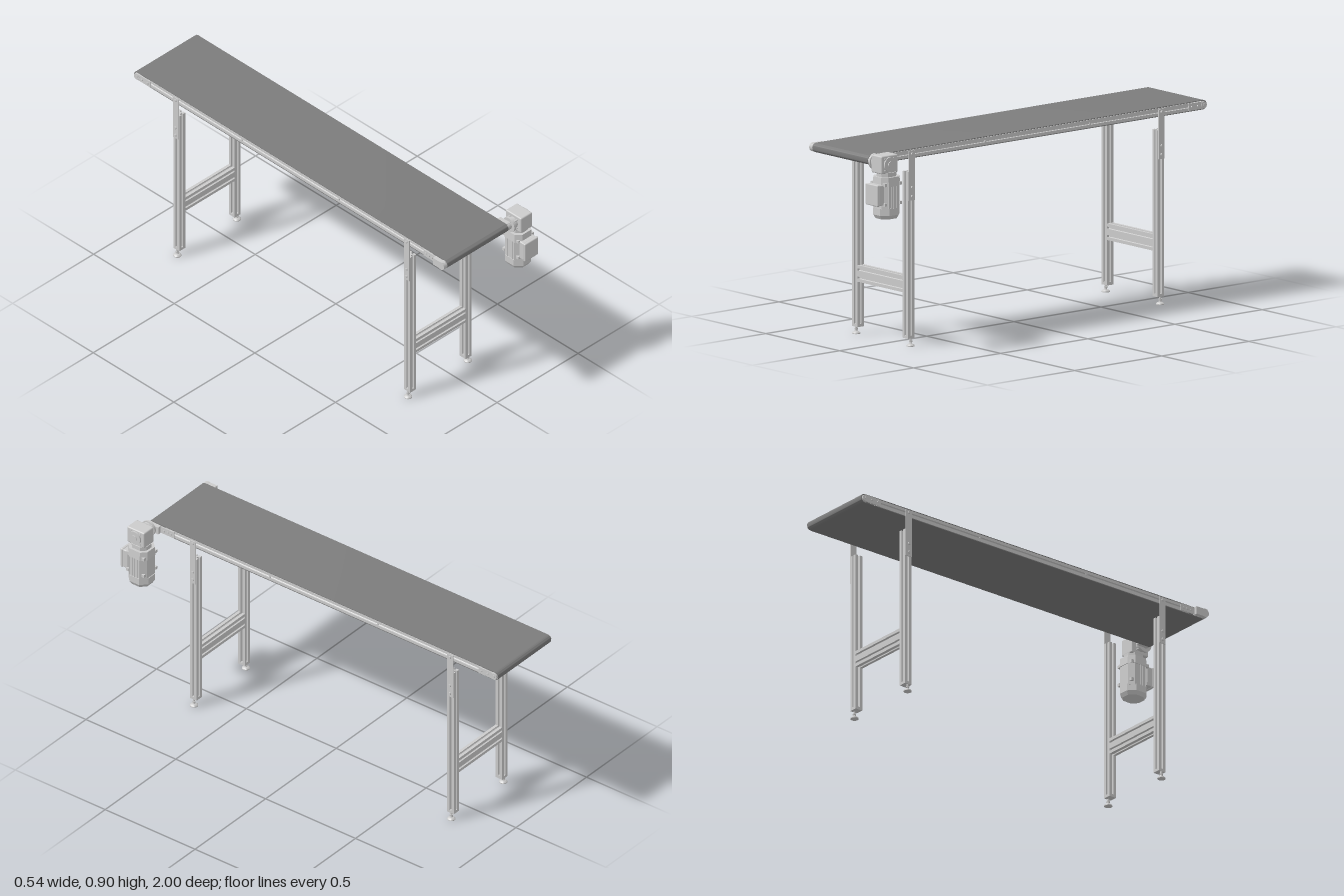
import * as THREE from 'three';
import { toCreasedNormals } from 'three/addons/utils/BufferGeometryUtils.js';
import { RoundedBoxGeometry } from 'three/addons/geometries/RoundedBoxGeometry.js';

const CX = -0.0625;     // centre line of the conveyor
const BELT_Y = 0.86;
const DRIVE_Z = 0.924, TAIL_Z = -0.979, R = 0.021;

const grey = new THREE.MeshStandardMaterial({ color: 0xcccccc });
const beltGrey = new THREE.MeshStandardMaterial({ color: 0x7c7c7c });

function add(parent, name, geometry, x = 0, y = 0, z = 0, material = grey) {
  const mesh = new THREE.Mesh(geometry, material);
  mesh.name = name;
  mesh.position.set(x, y, z);
  parent.add(mesh);
  return mesh;
}
const box = (w, h, d) => new THREE.BoxGeometry(w, h, d);
const cylX = (r, length, n = 32) => new THREE.CylinderGeometry(r, r, length, n).rotateZ(Math.PI / 2);

function group(parent, name, x = 0, y = 0, z = 0) {
  const g = new THREE.Group();
  g.name = name;
  g.position.set(x, y, z);
  parent.add(g);
  return g;
}

// T-slot section, nx by ny modules of size m, extruded along z and centred
function slotProfile(m, nx, ny, length) {
  const slot = [[-0.13, 0], [-0.13, 0.13], [-0.22, 0.13], [-0.11, 0.29],
    [0.11, 0.29], [0.22, 0.13], [0.13, 0.13], [0.13, 0]];
  const w = nx * m / 2, h = ny * m / 2;
  const sides = [[-w, -h, 1, 0, nx], [w, -h, 0, 1, ny], [w, h, -1, 0, nx], [-w, h, 0, -1, ny]];
  const points = [];
  for (const [x, y, dx, dy, count] of sides) {
    points.push(new THREE.Vector2(x, y));
    for (let k = 0; k < count; k++) {
      for (const [a, d] of slot) {
        const t = (k + 0.5 + a) * m, n = d * m;
        points.push(new THREE.Vector2(x + dx * t - dy * n, y + dy * t + dx * n));
      }
    }
  }
  const geometry = new THREE.ExtrudeGeometry(new THREE.Shape(points), { depth: length, bevelEnabled: false });
  return geometry.translate(0, 0, -length / 2);
}

// Closed loop around both end rollers, in the z-y plane
function loopPath(target, r) {
  target.absarc(DRIVE_Z, 0, r, -Math.PI / 2, Math.PI / 2, false);
  target.absarc(TAIL_Z, 0, r, Math.PI / 2, Math.PI * 1.5, false);
  target.closePath();
  return target;
}

function buildBelt(model) {
  const shape = loopPath(new THREE.Shape(), R);
  shape.holes.push(loopPath(new THREE.Path(), R - 0.003));
  const g = new THREE.ExtrudeGeometry(shape, { depth: 0.375, bevelEnabled: false, curveSegments: 20 });
  g.translate(0, 0, -0.1875).rotateY(-Math.PI / 2);
  add(model, 'belt', toCreasedNormals(g, 0.6), CX, BELT_Y, 0, beltGrey);
}

function buildFrame(model) {
  const frame = group(model, 'conveyorFrame', CX, BELT_Y, 0);
  add(frame, 'driveRoller', cylX(0.0175, 0.37), 0, 0, DRIVE_Z);
  add(frame, 'tailRoller', cylX(0.0175, 0.37), 0, 0, TAIL_Z);
  add(frame, 'sliderBed', box(0.31, 0.006, 1.76), 0, 0.0135, -0.03);
  for (const s of [-1, 1]) {
    add(frame, 'sideRail', slotProfile(0.034, 1, 1, 1.76), s * 0.171, 0, -0.03);
    // drive end: bearing plate, bearing housing and fixing screws
    add(frame, 'drivePlate', box(0.005, 0.032, 0.1), s * 0.191, 0, 0.85);
    add(frame, 'driveBearingBlock', box(0.02, 0.036, 0.06), s * 0.199, 0, 0.905);
    add(frame, 'driveBearing', cylX(0.02, 0.021), s * 0.199, 0, DRIVE_Z);
    for (const z of [0.815, 0.835, 0.855]) add(frame, 'plateScrew', cylX(0.005, 0.008, 12), s * 0.194, 0, z);
    // tail end: tensioner plate with rounded nose
    add(frame, 'tailPlate', box(0.005, 0.032, 0.085), s * 0.19, 0, -0.9365);
    add(frame, 'tailBearing', cylX(0.016, 0.007), s * 0.191, 0, TAIL_Z);
    add(frame, 'tailAxle', cylX(0.006, 0.012, 16), s * 0.191, 0, TAIL_Z);
    for (const z of [-0.91, -0.945]) add(frame, 'plateScrew', cylX(0.005, 0.008, 12), s * 0.194, 0, z);
    for (const z of [0.27, -0.33]) add(frame, 'railScrew', cylX(0.005, 0.004, 12), s * 0.188, 0, z);
  }
}

// Levelling foot: pad, stem and lock nut
function buildFoot(parent, x) {
  const pad = [[0, 0], [0.018, 0], [0.018, 0.004], [0.015, 0.008], [0.007, 0.012], [0.006, 0.016], [0, 0.016]];
  const foot = group(parent, 'foot', x, 0, 0);
  const g = new THREE.LatheGeometry(pad.map(([r, y]) => new THREE.Vector2(r, y)), 24);
  add(foot, 'footPad', toCreasedNormals(g, 0.5));
  add(foot, 'footStem', new THREE.CylinderGeometry(0.005, 0.005, 0.024, 16), 0, 0.025, 0);
  add(foot, 'lockNut', new THREE.CylinderGeometry(0.008, 0.008, 0.007, 6), 0, 0.022, 0);
}

function buildStand(model, z) {
  const stand = group(model, 'stand', CX, 0, z);
  const M = 0.037;
  for (const s of [-1, 1]) {
    add(stand, 'leg', slotProfile(M, 1, 1, 0.732).rotateX(-Math.PI / 2), s * 0.171, 0.414, 0);
    add(stand, 'legCap', box(M, 0.013, M), s * 0.171, 0.0415, 0);
    buildFoot(stand, s * 0.184);
    // hanger plate linking leg to belt frame
    add(stand, 'hangerPlate', box(0.004, 0.222, 0.032), s * 0.1915, 0.762, 0);
    for (const y of [0.86, 0.71, 0.67]) {
      add(stand, 'hangerBolt', cylX(0.0065, 0.007, 12), s * 0.1965, y, 0);
    }
  }
  const beam = slotProfile(M, 1, 2, 0.305).rotateY(-Math.PI / 2);
  add(stand, 'crossBeam', beam, 0, 0.275, 0);
}

// Eight-sided section with cut corners, standing on y = 0
function octagonPrism(w, d, cut, height, topScale = 1) {
  const a = w / 2, b = d / 2;
  const shape = new THREE.Shape([[a, -b + cut], [a, b - cut], [a - cut, b], [-a + cut, b],
    [-a, b - cut], [-a, -b + cut], [-a + cut, -b], [a - cut, -b]].map(([x, y]) => new THREE.Vector2(x, y)));
  const g = new THREE.ExtrudeGeometry(shape, { depth: height, bevelEnabled: false }).rotateX(-Math.PI / 2);
  const p = g.attributes.position;
  for (let i = 0; i < p.count; i++) {
    if (p.getY(i) > height / 2) p.setXYZ(i, p.getX(i) * topScale, p.getY(i), p.getZ(i) * topScale);
  }
  g.computeVertexNormals();
  return g;
}

function buildDrive(model) {
  const drive = group(model, 'gearMotor', 0.215, 0, 0.914);
  // right-angle gearbox on the drive shaft
  add(drive, 'gearboxHousing', new RoundedBoxGeometry(0.07, 0.08, 0.096, 2, 0.006), -0.002, 0.86, 0.008);
  add(drive, 'gearboxCover', cylX(0.033, 0.008), 0.036, BELT_Y, DRIVE_Z - 0.914);
  add(drive, 'coverHub', cylX(0.014, 0.014, 24), 0.037, BELT_Y, DRIVE_Z - 0.914);
  add(drive, 'outputNeck', cylX(0.026, 0.02), -0.04, BELT_Y, DRIVE_Z - 0.914);
  add(drive, 'outputFlange', cylX(0.036, 0.01), -0.063, BELT_Y, DRIVE_Z - 0.914);
  add(drive, 'flangeRing', cylX(0.03, 0.012), -0.053, BELT_Y, DRIVE_Z - 0.914);
  add(drive, 'outputShaft', cylX(0.01, 0.08, 20), -0.06, BELT_Y, DRIVE_Z - 0.914);
  for (let i = 0; i < 4; i++) {
    const a = Math.PI / 4 + i * Math.PI / 2;
    const y = BELT_Y + Math.sin(a) * 0.036, z = 0.01 + Math.cos(a) * 0.036;
    add(drive, 'gearboxBolt', cylX(0.005, 0.006, 12), 0.035, y, z);
    add(drive, 'flangeBolt', cylX(0.004, 0.03, 12), -0.05, BELT_Y + Math.sin(a) * 0.031, 0.01 + Math.cos(a) * 0.031);
  }
  // motor below the gearbox
  add(drive, 'motorNeck', octagonPrism(0.076, 0.084, 0.02, 0.025), 0, 0.798, 0);
  add(drive, 'motorFlange', octagonPrism(0.106, 0.112, 0.025, 0.04, 0.94), 0, 0.764, 0);
  add(drive, 'motorBody', octagonPrism(0.099, 0.105, 0.022, 0.105), 0, 0.66, 0);
  add(drive, 'fanCover', octagonPrism(0.106, 0.112, 0.03, 0.032), 0, 0.634, 0);
  add(drive, 'fanCoverEnd', octagonPrism(0.106, 0.112, 0.03, 0.017, 0.82).rotateX(Math.PI), 0, 0.634, 0);
  for (const sx of [-1, 1]) {
    for (const sz of [-1, 1]) {
      for (const y of [0.685, 0.772]) add(drive, 'motorLug', box(0.014, 0.014, 0.014), sx * 0.041, y, sz * 0.043);
    }
    for (let i = 0; i < 5; i++) add(drive, 'coolingFin', box(0.004, 0.1, 0.003), sx * 0.05, 0.715, -0.028 + i * 0.014);
  }
  add(drive, 'terminalBox', new RoundedBoxGeometry(0.08, 0.092, 0.03, 2, 0.005), 0, 0.728, 0.06);
  add(drive, 'terminalLid', new RoundedBoxGeometry(0.084, 0.096, 0.014, 2, 0.005), 0, 0.728, 0.079);
}

export function createModel() {
  const model = new THREE.Group();
  model.name = 'beltConveyor';
  buildBelt(model);
  buildFrame(model);
  for (const z of [0.696, -0.736]) buildStand(model, z);
  buildDrive(model);
  return model;
}
